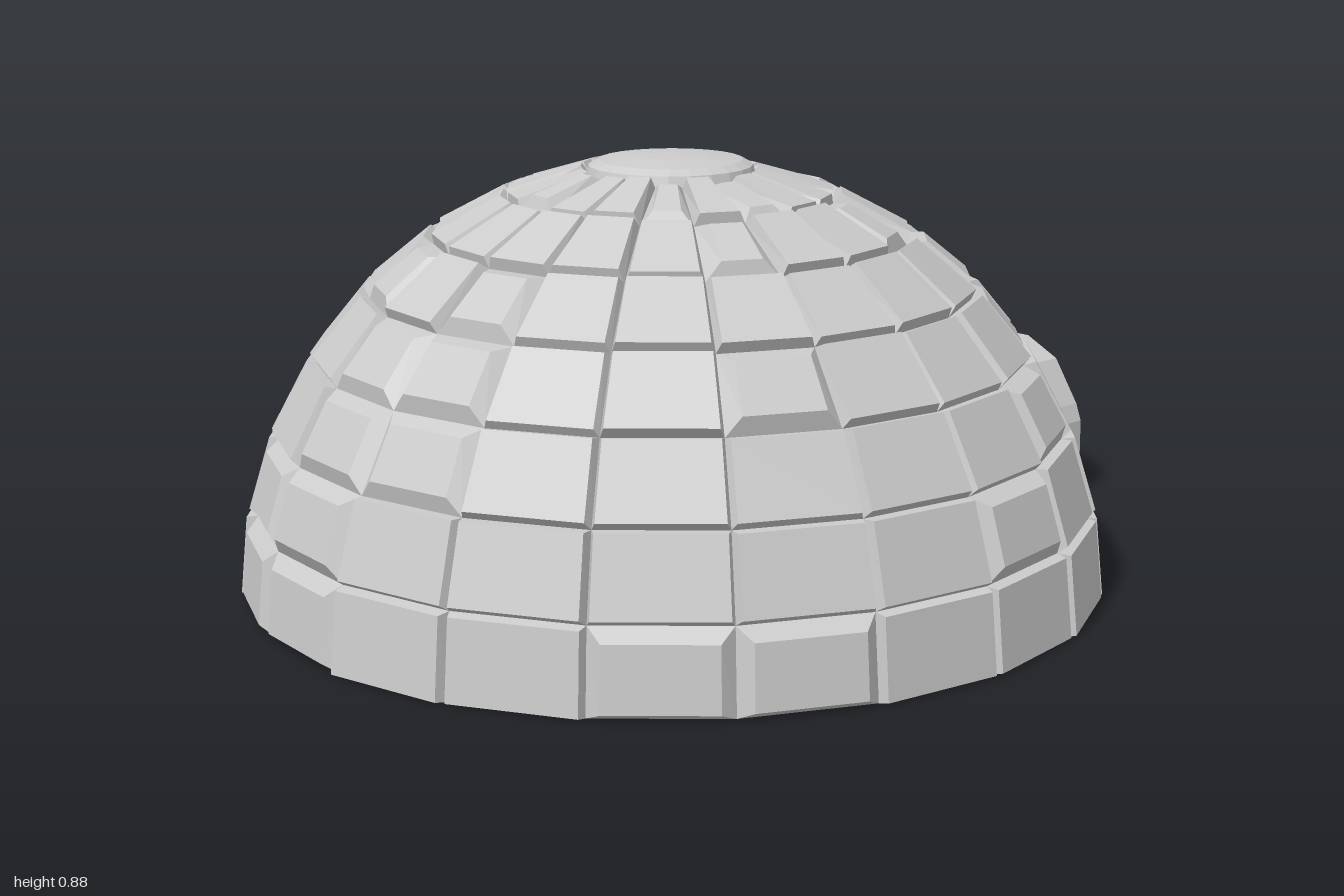
import * as THREE from 'three';

const SEGMENTS = 20, ROWS = 8, CX = -0.125, RADIUS = 0.878;
const material = new THREE.MeshStandardMaterial({ color: 0xcccccc, flatShading: true, side: THREE.DoubleSide });

// Small seeded generator for the hand-cut look
function seeded(seed) {
  return () => (seed = (seed * 16807) % 2147483647) / 2147483647;
}

function addMesh(parent, geometry, name) {
  const mesh = new THREE.Mesh(geometry, material);
  mesh.name = name;
  parent.add(mesh);
  return mesh;
}

// Point on the dome: theta around from +x towards +z, phi up from the ground
function domePoint(theta, phi, r) {
  return [CX + r * Math.cos(phi) * Math.cos(theta), r * Math.sin(phi), r * Math.cos(phi) * Math.sin(theta)];
}

// One snow block: raised face joined to the cell border by four bevels
function blockGeometry(seg, row, lift, bevel) {
  const dT = (Math.PI * 2) / SEGMENTS, dP = Math.PI / 2 / ROWS;
  const t0 = seg * dT, p0 = row * dP;
  const mid = Math.cos(p0 + dP / 2);
  const insetT = Math.min(bevel / (RADIUS * mid), dT * 0.22), insetP = bevel / RADIUS;
  const corners = [[0, 0], [0, 1], [1, 1], [1, 0]];
  const border = corners.map(([a, b]) => domePoint(t0 + a * dT, p0 + b * dP, RADIUS - 0.022));
  const face = corners.map(([a, b]) => domePoint(
    t0 + a * dT + (a ? -insetT : insetT),
    p0 + b * dP + (b ? -insetP : row ? insetP : insetP * 0.5),
    RADIUS + lift));
  const positions = [];
  const quad = (a, b, c, d) => positions.push(...a, ...b, ...c, ...a, ...c, ...d);
  quad(...face);
  for (let i = 0; i < 4; i++) {
    const j = (i + 1) % 4;
    quad(border[i], border[j], face[j], face[i]);
  }
  const g = new THREE.BufferGeometry();
  g.setAttribute('position', new THREE.Float32BufferAttribute(positions, 3));
  g.computeVertexNormals();
  return g;
}

// Faceted arch outline standing on the ground
function archPoints(half, height, shift) {
  const side = [[1, 0], [1, 0.49], [0.93, 0.6], [0.62, 0.88], [0.2, 1]];
  const mirrored = side.map(([x, y]) => [-x, y]).reverse();
  return [...side, ...mirrored].map(([x, y]) => new THREE.Vector2(x * half + shift, y * height));
}

// Hollow arched tunnel section running along x
function archSection(half, height, z, x0, x1, wall) {
  const shape = new THREE.Shape([
    ...archPoints(half, height, -z),
    ...archPoints(half - wall, height - wall, -z).reverse(),
  ]);
  const g = new THREE.ExtrudeGeometry(shape, { depth: x1 - x0, bevelEnabled: false });
  return g.rotateY(Math.PI / 2).translate(x0, 0, 0);
}

export function createModel() {
  const model = new THREE.Group();
  model.name = 'igloo';

  // Dome of snow blocks, leaving out the two lowest rows at the entrance
  const dome = new THREE.Group();
  dome.name = 'domeBlocks';
  model.add(dome);
  const random = seeded(41);
  for (let row = 0; row < ROWS - 1; row++) {
    for (let seg = 0; seg < SEGMENTS; seg++) {
      const wide = random() < 0.2;
      const lift = (random() - 0.5) * 0.008;
      const atDoor = seg === 0 || seg === SEGMENTS - 1;
      if (row < 2 && atDoor) continue;
      addMesh(dome, blockGeometry(seg, row, lift, wide ? 0.03 : 0.009), 'snowBlock');
    }
  }

  // Round cap block closing the top
  const cap = addMesh(model, new THREE.LatheGeometry([
    new THREE.Vector2(0.172, 0.838),
    new THREE.Vector2(0.165, 0.862),
    new THREE.Vector2(0.145, 0.873),
    new THREE.Vector2(0.075, 0.882),
    new THREE.Vector2(0, 0.885),
  ], 24), 'capBlock');
  cap.position.x = CX;

  // Flat wall around the entrance, leaning back with the dome
  const wallShape = new THREE.Shape([
    new THREE.Vector2(-0.27, 0), new THREE.Vector2(-0.268, 0.17), new THREE.Vector2(-0.25, 0.335),
    new THREE.Vector2(0, 0.345),
    new THREE.Vector2(0.25, 0.335), new THREE.Vector2(0.268, 0.17), new THREE.Vector2(0.27, 0),
    ...archPoints(0.17, 0.315, -0.005).reverse(),
  ]);
  const wall = new THREE.ShapeGeometry(wallShape).rotateY(Math.PI / 2);
  const p = wall.attributes.position;
  for (let i = 0; i < p.count; i++) p.setX(i, 0.695 - 0.45 * p.getY(i) ** 2);
  wall.computeVertexNormals();
  addMesh(model, wall, 'entranceWall');

  // Entrance tunnel: two block rings over a slimmer sleeve
  const tunnel = new THREE.Group();
  tunnel.name = 'entranceTunnel';
  model.add(tunnel);
  addMesh(tunnel, archSection(0.195, 0.338, 0.005, 0.63, 0.785, 0.025), 'rearRing');
  addMesh(tunnel, archSection(0.185, 0.328, -0.008, 0.75, 0.82, 0.02), 'sleeve');
  addMesh(tunnel, archSection(0.2, 0.345, -0.02, 0.795, 1, 0.022), 'frontRing');

  // Door panel set slightly inside the tunnel mouth
  const door = new THREE.ShapeGeometry(new THREE.Shape(archPoints(0.18, 0.325, 0.02)));
  addMesh(tunnel, door.rotateY(Math.PI / 2).translate(0.96, 0, 0), 'doorPanel');

  return model;
}
